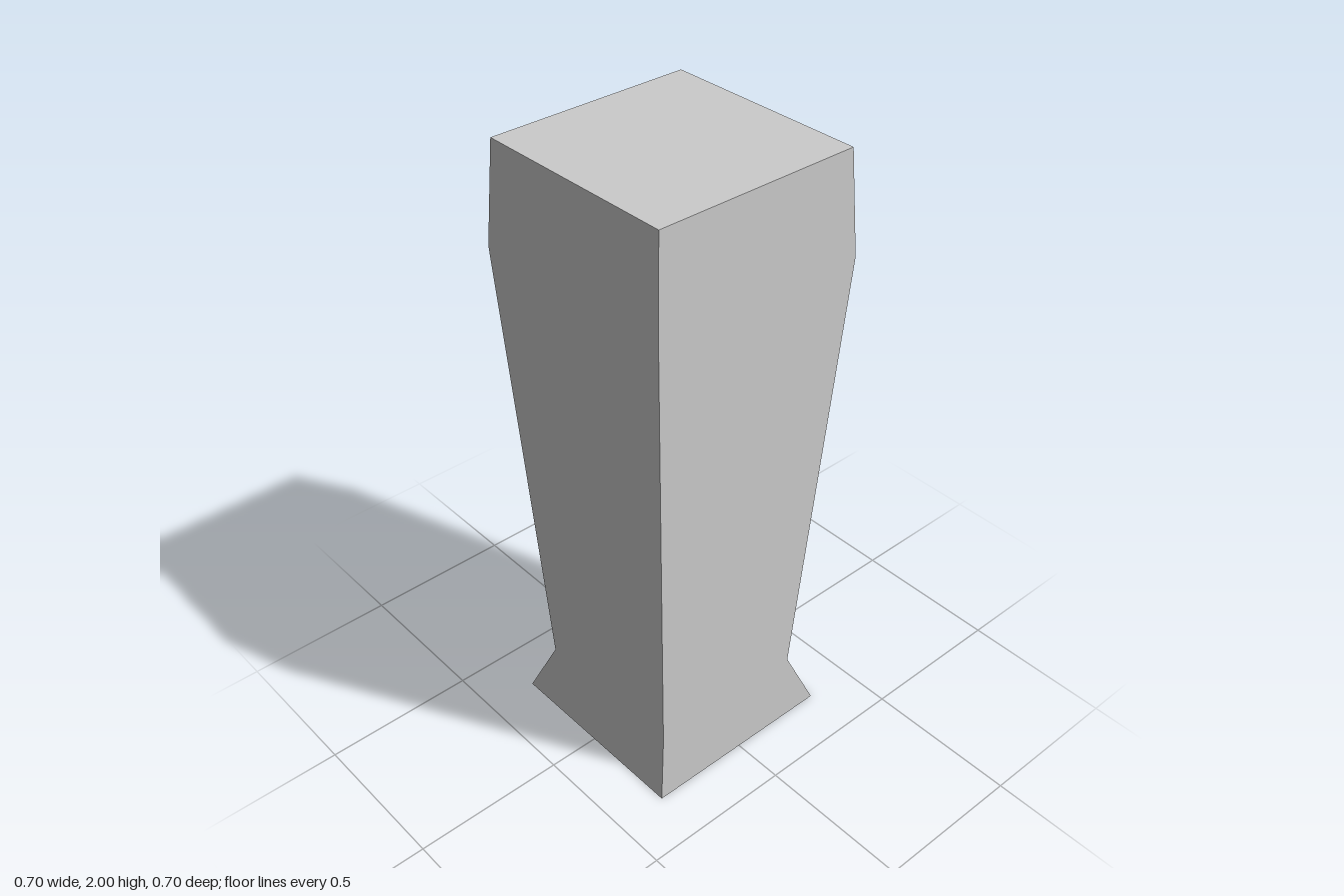
import * as THREE from 'three';

// Square profile from bottom to top: [height, half width]
const PROFILE = [
  [0, 0.332],
  [0.165, 0.271],
  [1.68, 0.352],
  [2, 0.332],
];

export function createModel() {
  const group = new THREE.Group();
  group.name = 'squarePillar';

  // Unit box with one row of vertices per profile point
  const rows = PROFILE.length - 1;
  const geometry = new THREE.BoxGeometry(2, rows, 2, 1, rows, 1);
  const pos = geometry.attributes.position;

  // Move each row to its height and width; the box normals stay, so each side shades evenly
  for (let i = 0; i < pos.count; i++) {
    const [y, half] = PROFILE[Math.round(pos.getY(i) + rows / 2)];
    pos.setXYZ(i, Math.sign(pos.getX(i)) * half, y, Math.sign(pos.getZ(i)) * half);
  }

  const pillar = new THREE.Mesh(geometry, new THREE.MeshStandardMaterial({ color: 0xcccccc }));
  pillar.name = 'pillar';
  group.add(pillar);
  return group;
}
